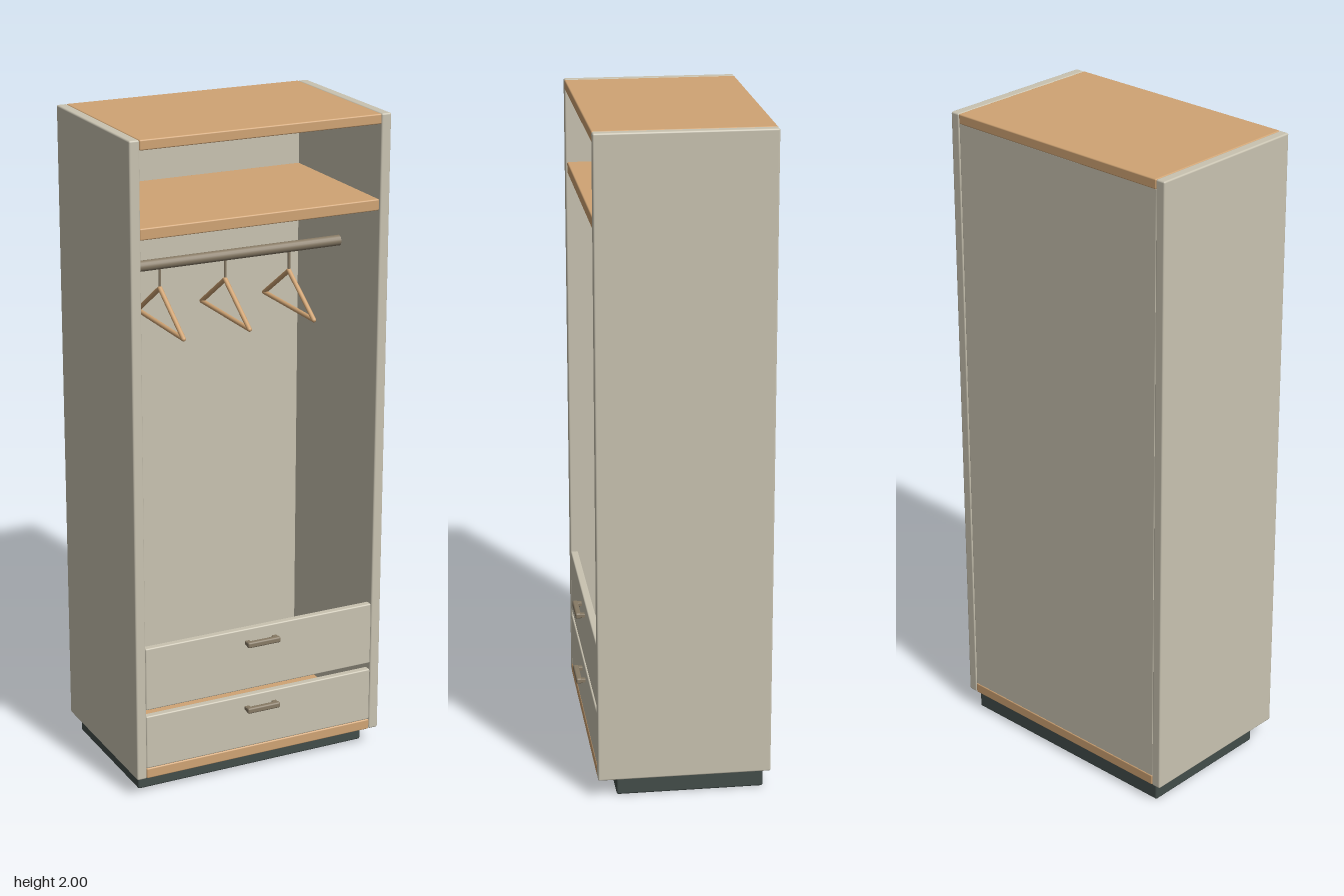
import * as THREE from 'three';
import { RoundedBoxGeometry } from 'three/addons/geometries/RoundedBoxGeometry.js';

const material = (name, color) => {
  const m = new THREE.MeshStandardMaterial({ color });
  m.name = name;
  return m;
};

export function createModel() {
  const stone = material('stone lacquer', 0xc9c3b1);
  const wood = material('light wood', 0xd0a474);
  const bronze = material('bronze metal', 0x877a65);
  const charcoal = material('charcoal base', 0x434d4a);

  const model = new THREE.Group();
  model.name = 'wardrobe';

  // Softly rounded board given by its limits on each axis
  const board = (name, mat, [x0, x1], [y0, y1], [z0, z1], radius = 0.004, parent = model) => {
    const mesh = new THREE.Mesh(new RoundedBoxGeometry(x1 - x0, y1 - y0, z1 - z0, 2, radius), mat);
    mesh.position.set((x0 + x1) / 2, (y0 + y1) / 2, (z0 + z1) / 2);
    mesh.name = name;
    parent.add(mesh);
    return mesh;
  };

  // Round bar between two points
  const bar = (name, mat, from, to, radius, parent = model) => {
    const a = new THREE.Vector3(...from);
    const b = new THREE.Vector3(...to);
    const dir = b.clone().sub(a);
    const mesh = new THREE.Mesh(new THREE.CylinderGeometry(radius, radius, dir.length(), 16), mat);
    mesh.position.copy(a).add(b).multiplyScalar(0.5);
    mesh.quaternion.setFromUnitVectors(new THREE.Vector3(0, 1, 0), dir.normalize());
    mesh.name = name;
    parent.add(mesh);
    return mesh;
  };

  const inner = [-0.377, 0.377];
  const depth = [-0.273, 0.243];

  // Carcass
  board('plinth', charcoal, [-0.38, 0.38], [0, 0.062], [-0.255, 0.185], 0.006);
  board('rightSidePanel', stone, [-0.408, -0.377], [0.062, 2], depth, 0.005);
  board('leftSidePanel', stone, [0.377, 0.408], [0.062, 2], depth, 0.005);
  board('bottomBoard', wood, inner, [0.062, 0.095], depth);
  board('topBoard', wood, inner, [1.97, 2], depth);
  board('backPanel', stone, inner, [0.093, 1.972], [-0.271, -0.259], 0.002);
  board('shelf', wood, inner, [1.716, 1.75], [-0.26, 0.238]);

  // Drawer fronts with bar handles
  [['lowerDrawer', 0.095, 0.265, 0.225], ['upperDrawer', 0.286, 0.484, 0.441]].forEach(([name, y0, y1, y]) => {
    const drawer = new THREE.Group();
    drawer.name = name;
    model.add(drawer);
    board('drawerFront', stone, inner, [y0, y1], [0.219, 0.242], 0.004, drawer);
    board('handleBar', bronze, [-0.054, 0.054], [y - 0.009, y + 0.009], [0.253, 0.27], 0.005, drawer);
    for (const x of [-0.045, 0.045]) {
      board('handlePost', bronze, [x - 0.008, x + 0.008], [y - 0.006, y + 0.006], [0.238, 0.257], 0.002, drawer);
    }
  });

  // Hanging rail
  bar('hangingRail', bronze, [-0.378, 1.57, 0], [0.378, 1.57, 0], 0.016);

  // Triangular hangers facing sideways
  for (const x of [-0.21, 0, 0.21]) {
    const hanger = new THREE.Group();
    hanger.name = 'hanger';
    hanger.position.x = x;
    model.add(hanger);
    bar('hangerStem', bronze, [0, 1.495, 0], [0, 1.56, 0], 0.004, hanger);
    const corners = [[0, 1.497, 0], [0, 1.388, 0.16], [0, 1.388, -0.16]];
    corners.forEach((p, i) => {
      bar('hangerArm', wood, p, corners[(i + 1) % 3], 0.007, hanger);
      const joint = new THREE.Mesh(new THREE.SphereGeometry(0.007, 12, 8), wood);
      joint.position.set(...p);
      joint.name = 'hangerJoint';
      hanger.add(joint);
    });
  }

  return model;
}
